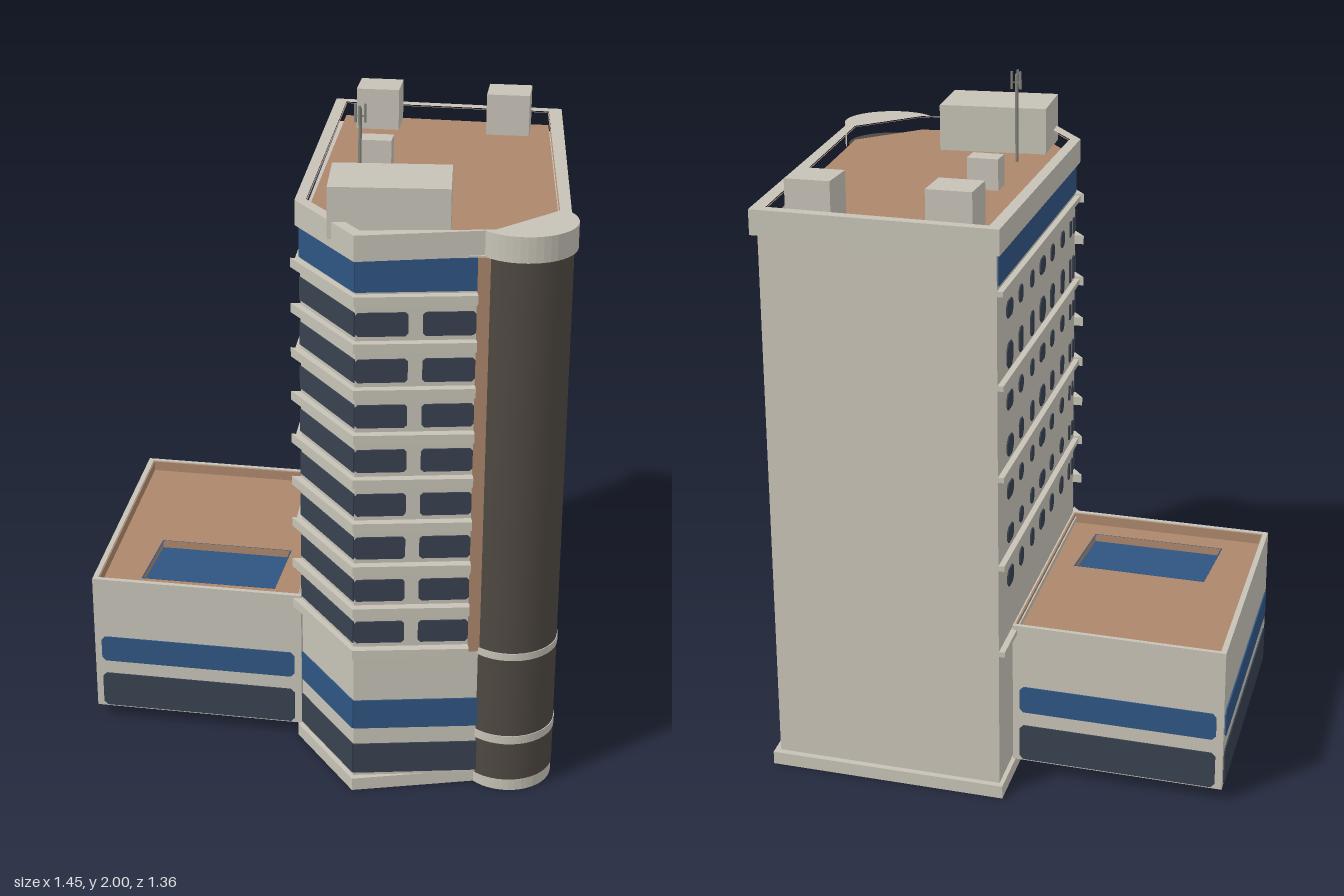
import * as THREE from 'three';

const mat = (name, color) => {
  const m = new THREE.MeshStandardMaterial({ color });
  m.name = name;
  return m;
};

export function createModel() {
  const wallMat = mat('pale concrete', 0xc6c2b6);
  const blue = mat('blue glass', 0x2f5582);
  const dark = mat('dark glass', 0x38414f);
  const tan = mat('terracotta', 0xac866c);
  const brown = mat('dark brown', 0x4f4842);
  const metal = mat('grey metal', 0x85857f);

  const model = new THREE.Group();
  model.name = 'building';

  const add = (name, geometry, material, parent = model) => {
    const mesh = new THREE.Mesh(geometry, material);
    mesh.name = name;
    parent.add(mesh);
    return mesh;
  };
  // Plan points are [x, z]; slabs rise from y0 to y1
  const toVecs = (pts) => pts.map(([x, z]) => new THREE.Vector2(x, -z));
  const slab = (name, pts, y0, y1, material, hole) => {
    const shape = new THREE.Shape(toVecs(pts));
    if (hole) shape.holes.push(new THREE.Path(toVecs(hole)));
    const g = new THREE.ExtrudeGeometry(shape, { depth: y1 - y0, bevelEnabled: false });
    g.rotateX(-Math.PI / 2);
    g.translate(0, y0, 0);
    return add(name, g, material);
  };
  // Shrink a plan towards a centre by a small factor
  const shrink = (pts, f, cx, cz) => pts.map(([x, z]) => [cx + (x - cx) * f, cz + (z - cz) * f]);
  // Local frame on a wall: x runs from p to q, z points outwards
  const wallFrame = (name, p, q) => {
    const group = new THREE.Group();
    group.name = name;
    group.position.set(p[0], 0, p[1]);
    group.rotation.y = Math.atan2(p[1] - q[1], q[0] - p[0]);
    model.add(group);
    return { group, length: Math.hypot(q[0] - p[0], q[1] - p[1]) };
  };
  // Thin plate with cut corners
  const plate = (name, frame, x0, x1, y0, y1, cut, material) => {
    const pts = cut > 0
      ? [[x0 + cut, y0], [x1 - cut, y0], [x1, y0 + cut], [x1, y1 - cut],
        [x1 - cut, y1], [x0 + cut, y1], [x0, y1 - cut], [x0, y0 + cut]]
      : [[x0, y0], [x1, y0], [x1, y1], [x0, y1]];
    const shape = new THREE.Shape(pts.map(([x, y]) => new THREE.Vector2(x, y)));
    const g = new THREE.ExtrudeGeometry(shape, { depth: 0.004, bevelEnabled: false });
    return add(name, g, material, frame.group);
  };

  // Tower plan
  const A = [-0.065, -0.66], B = [0.638, -0.615], C = [0.69, 0.42];
  const D = [0.5, 0.595], E = [0.12, 0.655], F = [-0.065, 0.385];
  const turret = [0.57, 0.49];
  slab('towerWalls', [A, B, C, D, E, F], 0.04, 1.69, wallMat);

  // Wider outline with a rounded corner, shared by plinth and parapet
  const outline = (r) => {
    const pts = [[-0.078, -0.68], [0.655, -0.635]];
    for (let i = 0; i <= 20; i++) {
      const a = THREE.MathUtils.degToRad(-32 + (167 * i) / 20);
      pts.push([turret[0] + 0.003 + r * Math.cos(a), turret[1] + r * Math.sin(a)]);
    }
    pts.push([0.118, 0.676], [-0.08, 0.387]);
    return pts;
  };
  const inner = [[-0.042, -0.645], [0.615, -0.6], [0.666, 0.4], [0.495, 0.583], [0.13, 0.63], [-0.048, 0.377]];
  slab('plinth', outline(0.135), 0, 0.04, wallMat);
  slab('parapet', outline(0.148), 1.685, 1.76, wallMat, inner);
  slab('parapetLining', inner, 1.69, 1.757, tan, shrink(inner, 0.99, 0.3, 0));
  slab('towerRoof', inner, 1.69, 1.715, tan);

  // Round corner turret with pale rings
  const drum = (name, r, y0, y1, material) => {
    const g = new THREE.CylinderGeometry(r, r, y1 - y0, 40);
    add(name, g, material).position.set(turret[0], (y0 + y1) / 2, turret[1]);
  };
  drum('turret', 0.14, 0.04, 1.69, brown);
  drum('turretRing', 0.1425, 0.45, 0.473, wallMat);
  drum('turretRing', 0.1425, 0.165, 0.192, wallMat);

  // Front facade: corner wall and main wall
  const corner = wallFrame('cornerFacade', F, E);
  const front = wallFrame('frontFacade', E, D);
  const fx = (x) => ((x - E[0]) / (D[0] - E[0])) * front.length;
  plate('terracottaStrip', front, fx(0.45), front.length, 0.46, 1.685, 0, tan);
  const bands = [[1.59, 1.685, blue, 0.45], [0.205, 0.3, blue, 0.5], [0.05, 0.15, dark, 0.5]];
  for (const [y0, y1, m, end] of bands) {
    plate('glassBand', corner, 0, corner.length, y0, y1, 0, m);
    plate('glassBand', front, 0, fx(end), y0, y1, 0, m);
  }
  const floor = 0.1377;
  for (let i = 0; i < 9; i++) {
    const y = 1.57 - i * floor;
    slab('balconyLedge', [[-0.095, 0.38], [0.118, 0.68], [0.455, 0.63], [0.45, 0.59], [0.12, 0.64], [-0.06, 0.38]],
      y - 0.014, y + 0.014, wallMat);
    if (i === 8) break;
    plate('ribbonWindow', corner, 0, corner.length, y - 0.11, y - 0.04, 0, dark);
    plate('ribbonWindow', front, 0, fx(0.265), y - 0.11, y - 0.04, 0.008, dark);
    plate('ribbonWindow', front, fx(0.305), fx(0.45), y - 0.11, y - 0.04, 0.008, dark);
  }

  // Side walls: columns of small cut-corner windows
  const right = wallFrame('rightWall', C, B);
  const left = wallFrame('leftWall', A, F);
  const heights = [0.06, 0.05, 0.075, 0.05, 0.06, 0.048, 0.048, 0.055, 0.05, 0.075, 0.05];
  const columns = [[0.355, 0.02], [0.308, 0.02], [0.19, 0.048], [0.043, 0.048],
    [-0.095, 0.07], [-0.233, 0.042], [-0.378, 0.048], [-0.517, 0.072]];
  heights.forEach((h, row) => {
    const y = 1.625 - row * 0.138;
    for (const [z, w] of columns) {
      const cut = w < 0.03 ? 0.003 : Math.min(w, h) * 0.27;
      const s = C[1] - z;
      plate('sideWindow', right, s - w / 2, s + w / 2, y - h / 2, y + h / 2, cut, dark);
      if (row === 0 || row > 7) continue;
      const t = z - A[1];
      plate('sideWindow', left, t - w / 2, t + w / 2, y - h / 2, y + h / 2, cut, dark);
    }
  });
  plate('glassBand', left, 0.01, left.length, 1.59, 1.685, 0, blue);
  for (let i = 0; i < 9; i += 2) {
    const g = new THREE.BoxGeometry(left.length, 0.016, 0.024);
    add('sideLedge', g, wallMat, left.group).position.set(left.length / 2, 1.57 - i * floor, 0.006);
  }

  // Low annex with sunken skylight
  const P = [-0.717, -0.55], Q = [-0.728, 0.342], R = [-0.07, 0.381], S = [-0.07, -0.508];
  const annexInner = [[-0.7, -0.535], [-0.712, 0.327], [-0.075, 0.366], [-0.075, -0.494]];
  const skylight = [[-0.57, -0.007], [-0.146, 0.02], [-0.165, 0.28], [-0.59, 0.256]];
  slab('annexBody', [P, Q, R, S], 0.04, 0.42, wallMat);
  slab('annexParapet', [P, Q, R, S], 0.42, 0.49, wallMat, annexInner);
  slab('annexParapetLining', annexInner, 0.42, 0.487, tan, shrink(annexInner, 0.988, -0.39, -0.08));
  slab('annexRoof', annexInner, 0.42, 0.455, tan, skylight);
  slab('skylightGlass', skylight, 0.42, 0.43, blue);
  slab('skylightSides', skylight, 0.43, 0.456, blue, shrink(skylight, 0.98, -0.37, 0.137));
  for (const [p, q] of [[P, Q], [Q, R], [S, P]]) {
    const face = wallFrame('annexFacade', p, q);
    plate('annexBand', face, 0.022, face.length - 0.022, 0.205, 0.29, 0.012, blue);
    plate('annexBand', face, 0.022, face.length - 0.022, 0.045, 0.16, 0.012, dark);
  }

  // Rooftop plant rooms: x, z, width, depth, top
  const rooms = [[0.197, 0.448, 0.34, 0.225, 1.86], [0.076, -0.56, 0.135, 0.13, 1.845],
    [0.49, -0.535, 0.135, 0.13, 1.845], [0.109, -0.086, 0.096, 0.068, 1.81]];
  for (const [x, z, w, d, top] of rooms) {
    const box = add('plantRoom', new THREE.BoxGeometry(w, top - 1.71, d), wallMat);
    box.position.set(x, (top + 1.71) / 2, z);
    box.rotation.y = w > 0.2 ? 0.045 : -0.03;
  }

  // Antenna mast with short prongs
  const rod = (r, y0, y1, x, z) => {
    add('antenna', new THREE.CylinderGeometry(r, r, y1 - y0, 8), metal).position.set(x, (y0 + y1) / 2, z);
  };
  rod(0.005, 1.71, 1.99, 0.09, 0.235);
  for (let i = 0; i < 3; i++) {
    const a = (i * Math.PI * 2) / 3 + Math.PI / 2;
    const x = 0.09 + 0.016 * Math.cos(a), z = 0.235 + 0.016 * Math.sin(a);
    rod(0.004, 1.945, 2, x, z);
    const arm = add('antennaArm', new THREE.BoxGeometry(0.018, 0.004, 0.004), metal);
    arm.position.set((x + 0.09) / 2, 1.965, (z + 0.235) / 2);
    arm.rotation.y = -a;
  }
  return model;
}
